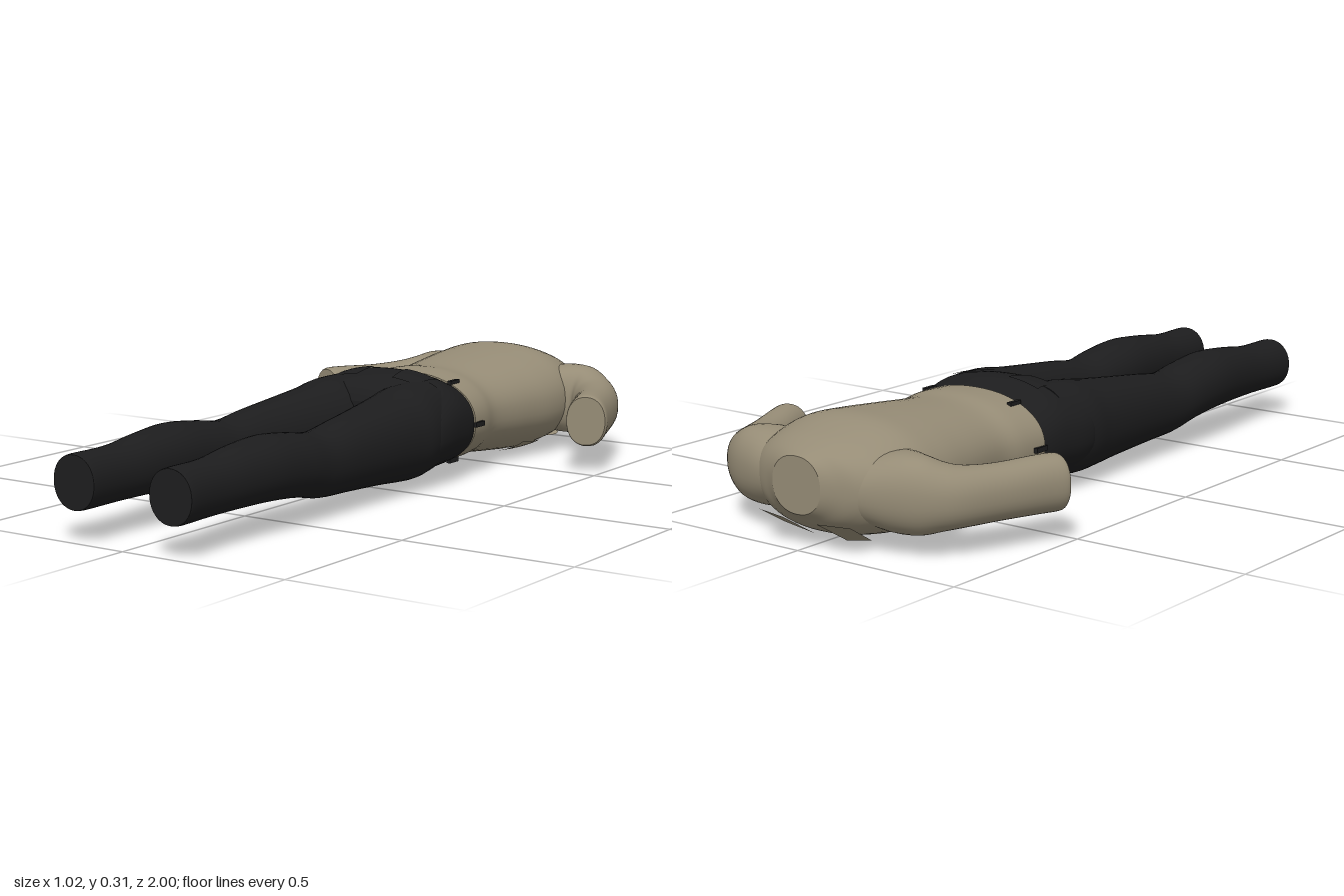
import * as THREE from 'three';

const shirtCloth = new THREE.MeshStandardMaterial({ color: 0x968c76, side: THREE.DoubleSide });
shirtCloth.name = 'khaki shirt cloth';
const trouserCloth = new THREE.MeshStandardMaterial({ color: 0x1d1d1e, side: THREE.DoubleSide });
trouserCloth.name = 'black trouser cloth';

// Each section: [ax, az, bx, bz, yCentre, halfHeight], an oval between edge points a and b
const wide = (z, w, low, high) => [w, z, -w, z, (low + high) / 2, (high - low) / 2];
const limb = (z, outer, inner, low, high) => [outer, z, inner, z, (low + high) / 2, (high - low) / 2];

// Smoothly adds sections between the given ones
function refine(keys, steps = 5) {
  const out = [];
  const at = (i) => keys[Math.min(keys.length - 1, Math.max(0, i))];
  for (let i = 0; i < keys.length - 1; i++) {
    for (let s = 0; s < steps; s++) {
      const t = s / steps;
      out.push(keys[i].map((p1, k) => {
        const p0 = at(i - 1)[k], p2 = at(i + 1)[k], p3 = at(i + 2)[k];
        return p1 + 0.5 * t * (p2 - p0 + t * (2 * p0 - 5 * p1 + 4 * p2 - p3 + t * (3 * (p1 - p2) + p3 - p0)));
      }));
    }
  }
  out.push(keys[keys.length - 1]);
  return out;
}

// Skins the sections into a smooth closed body with flat end caps
function loft(name, sections, power, material, sides = 40) {
  const pos = [], index = [];
  const ring = ([ax, az, bx, bz, y, h]) => {
    const start = pos.length / 3;
    for (let j = 0; j < sides; j++) {
      const a = (j / sides) * Math.PI * 2;
      const c = Math.sign(Math.cos(a)) * Math.abs(Math.cos(a)) ** (2 / power);
      const s = Math.sign(Math.sin(a)) * Math.abs(Math.sin(a)) ** (2 / power);
      pos.push((ax + bx) / 2 + c * (ax - bx) / 2, y + s * h, (az + bz) / 2 + c * (az - bz) / 2);
    }
    return start;
  };
  const starts = sections.map(ring);
  for (let i = 0; i < starts.length - 1; i++) {
    for (let j = 0; j < sides; j++) {
      const k = (j + 1) % sides, p = starts[i], q = starts[i + 1];
      index.push(p + j, p + k, q + j, p + k, q + k, q + j);
    }
  }
  for (const [section, end] of [[sections[0], false], [sections[sections.length - 1], true]]) {
    const p = ring(section), centre = pos.length / 3;
    pos.push((section[0] + section[2]) / 2, section[4], (section[1] + section[3]) / 2);
    for (let j = 0; j < sides; j++) {
      const k = (j + 1) % sides;
      index.push(centre, p + (end ? j : k), p + (end ? k : j));
    }
  }
  return meshFrom(name, pos, index, material);
}

function meshFrom(name, pos, index, material) {
  const geo = new THREE.BufferGeometry();
  geo.setAttribute('position', new THREE.Float32BufferAttribute(pos, 3));
  geo.setIndex(index);
  geo.computeVertexNormals();
  const mesh = new THREE.Mesh(geo, material);
  mesh.name = name;
  return mesh;
}

// Height of a wide body's surface at x, z (side +1 upper, -1 lower)
function surfaceY(sections, power, x, z, side) {
  let i = 0;
  while (i < sections.length - 2 && sections[i + 1][1] < z) i++;
  const a = sections[i], b = sections[i + 1], t = (z - a[1]) / (b[1] - a[1]);
  const mix = (k) => a[k] + (b[k] - a[k]) * t;
  return mix(4) + side * mix(5) * Math.max(0, 1 - Math.abs(x / mix(0)) ** power) ** (1 / power);
}

// Grid sheet between four corners [x, z], placed by a height rule
function patch(name, corners, height, material, n = 6) {
  const pos = [], index = [];
  const [a, b, c, d] = corners;
  for (let i = 0; i <= n; i++) for (let j = 0; j <= n; j++) {
    const u = j / n, v = i / n;
    const [x, z] = [0, 1].map((k) => (a[k] * (1 - u) + b[k] * u) * (1 - v) + (d[k] * (1 - u) + c[k] * u) * v);
    pos.push(x, height(x, z), z);
    if (i < n && j < n) {
      const p = i * (n + 1) + j, q = p + n + 1;
      index.push(p, q, p + 1, p + 1, q, q + 1);
    }
  }
  return meshFrom(name, pos, index, material);
}

export function createModel() {
  const model = new THREE.Group();
  model.name = 'clothedFigure';

  // Shirt body, from neck to hem
  const torso = refine([
    wide(-1, 0.08, 0.1, 0.25), wide(-0.98, 0.115, 0.085, 0.258), wide(-0.95, 0.175, 0.06, 0.272),
    wide(-0.9, 0.225, 0.032, 0.292), wide(-0.8, 0.25, 0.012, 0.318), wide(-0.7, 0.25, 0.006, 0.315),
    wide(-0.58, 0.232, 0.015, 0.305), wide(-0.44, 0.212, 0.028, 0.293), wide(-0.36, 0.225, 0.024, 0.298),
    wide(-0.28, 0.235, 0.028, 0.295),
  ]);
  model.add(loft('shirtBody', torso, 2.2, shirtCloth, 56));

  // Seat of the trousers, closing inside the thighs
  const seat = refine([
    wide(-0.292, 0.226, 0.03, 0.285), wide(-0.25, 0.238, 0.024, 0.3), wide(-0.19, 0.247, 0.021, 0.314),
    wide(-0.11, 0.254, 0.022, 0.302), wide(-0.06, 0.245, 0.035, 0.28), wide(-0.035, 0.2, 0.07, 0.24),
  ]);
  model.add(loft('trouserSeat', seat, 2.3, trouserCloth, 56));

  // Sleeve, from inside the shoulder to the cuff
  const sleeve = refine([
    [0.14, -0.962, 0.16, -0.7, 0.16, 0.095], [0.22, -0.943, 0.22, -0.74, 0.16, 0.104],
    [0.3, -0.915, 0.262, -0.768, 0.16, 0.1], [0.36, -0.873, 0.283, -0.752, 0.157, 0.086],
    [0.405, -0.815, 0.303, -0.725, 0.155, 0.077], [0.45, -0.71, 0.335, -0.665, 0.155, 0.073],
    [0.49, -0.605, 0.377, -0.567, 0.157, 0.075], [0.51, -0.555, 0.397, -0.517, 0.157, 0.075],
    [0.51, -0.541, 0.403, -0.506, 0.157, 0.07],
  ]);

  // Trouser leg with knee below and calf above
  const leg = refine([
    limb(-0.16, 0.235, 0.01, 0.04, 0.295), limb(-0.06, 0.252, 0.002, 0.028, 0.292),
    limb(0.02, 0.247, 0.014, 0.031, 0.28), limb(0.12, 0.242, 0.034, 0.04, 0.268),
    limb(0.28, 0.236, 0.06, 0.05, 0.25), limb(0.4, 0.235, 0.066, 0.056, 0.235),
    limb(0.5, 0.24, 0.066, 0.075, 0.248), limb(0.62, 0.239, 0.066, 0.086, 0.26),
    limb(0.74, 0.228, 0.075, 0.089, 0.252), limb(0.86, 0.22, 0.086, 0.09, 0.237),
    limb(0.985, 0.224, 0.087, 0.089, 0.236), limb(1, 0.22, 0.091, 0.093, 0.232),
  ]);

  for (const side of [1, -1]) {
    const half = new THREE.Group();
    half.name = side > 0 ? 'leftHalf' : 'rightHalf';
    half.scale.x = side;
    half.add(loft('sleeve', sleeve, 2.2, shirtCloth), loft('trouserLeg', leg, 2.1, trouserCloth));

    // Collar point hanging under the neck
    half.add(patch('collarPoint', [[0.055, -0.99], [0.155, -0.975], [0.15, -0.89], [0.055, -0.875]],
      (x, z) => 0.012 + (-0.875 - z) * 0.6 + Math.max(0, x - 0.055) * 0.12, shirtCloth, 1));

    // Back pocket flap
    half.add(patch('backPocketFlap', [[0.05, -0.2], [0.15, -0.2], [0.14, -0.11], [0.06, -0.11]],
      (x, z) => surfaceY(seat, 2.3, x, z, 1) + 0.004, trouserCloth));

    // Belt loops standing over the hem
    for (const [x, y] of [[0.146, 0.272], [0.146, 0.046], [0.234, 0.16]]) {
      const loop = new THREE.Mesh(new THREE.BoxGeometry(0.012, 0.014, 0.046), trouserCloth);
      loop.name = 'beltLoop';
      loop.position.set(x, y, -0.299);
      half.add(loop);
    }
    model.add(half);
  }

  // Chest pocket on the underside
  model.add(patch('chestPocket', [[0.1, -0.73], [0.185, -0.73], [0.185, -0.63], [0.1, -0.63]],
    (x, z) => surfaceY(torso, 2.2, x, z, -1) - 0.005, shirtCloth));

  return model;
}
